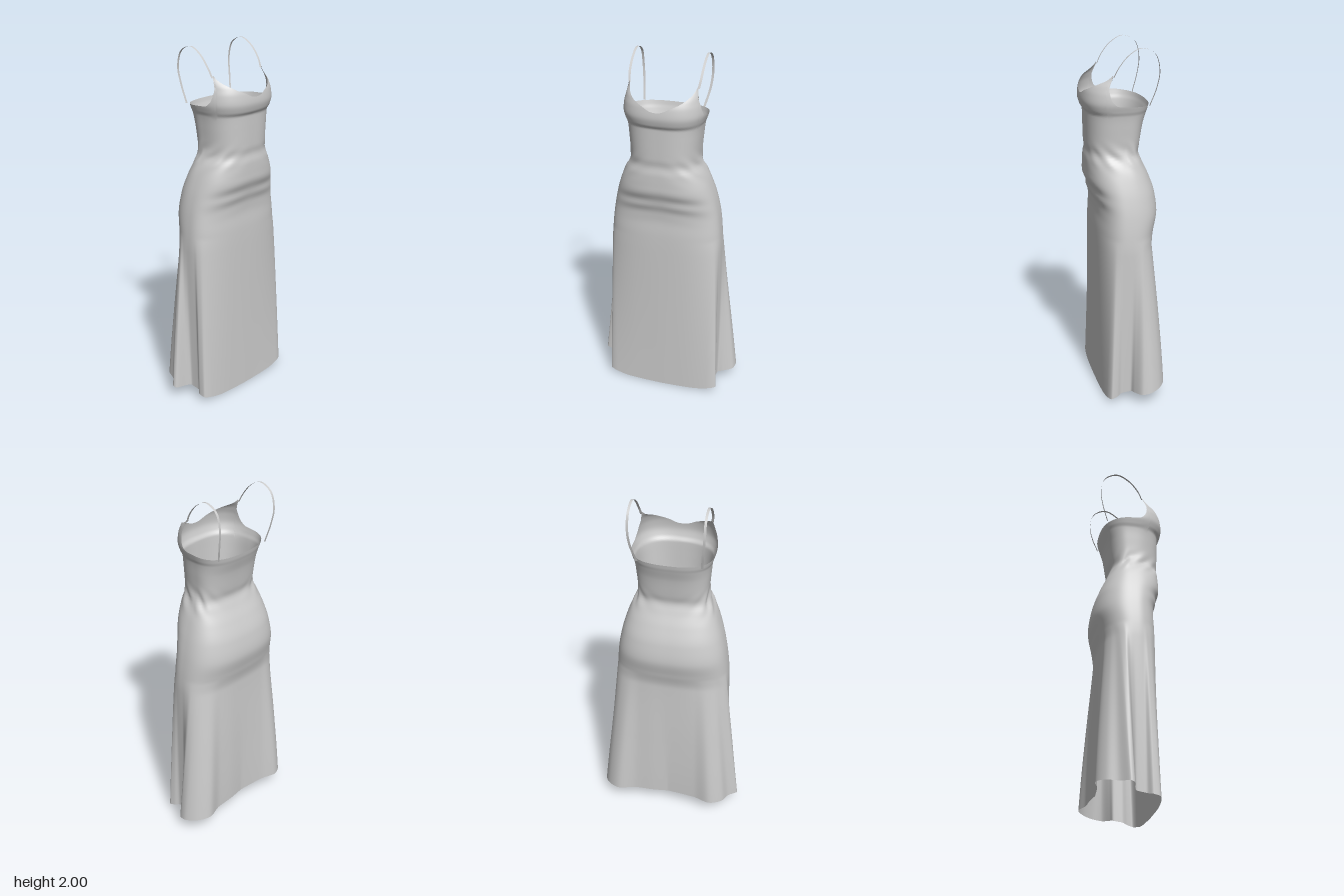
import * as THREE from 'three';

const material = new THREE.MeshStandardMaterial({ color: 0xcccccc, side: THREE.DoubleSide });

// Smooth interpolation through rows of [key, value...], limited so it never overshoots
function sample(rows, t, c = 1) {
  const n = rows.length - 1;
  if (t <= rows[0][0]) return rows[0][c];
  if (t >= rows[n][0]) return rows[n][c];
  let k = 0;
  while (rows[k + 1][0] < t) k++;
  const step = (i) => (rows[i + 1][c] - rows[i][c]) / (rows[i + 1][0] - rows[i][0]);
  const slope = (i) => {
    if (i === 0 || i === n) return 0;
    const a = step(i - 1), b = step(i);
    return a * b <= 0 ? 0 : (2 * a * b) / (a + b);
  };
  const h = rows[k + 1][0] - rows[k][0], s = (t - rows[k][0]) / h;
  const s2 = s * s, s3 = s2 * s;
  return rows[k][c] * (2 * s3 - 3 * s2 + 1) + rows[k + 1][c] * (3 * s2 - 2 * s3)
    + h * (slope(k) * (s3 - 2 * s2 + s) + slope(k + 1) * (s3 - s2));
}

// Surface grid from a point function; columns optionally close into a ring
function gridMesh(name, rows, cols, closed, point) {
  const pos = [], index = [], width = closed ? cols : cols + 1;
  for (let i = 0; i <= rows; i++)
    for (let j = 0; j < width; j++) pos.push(...point(i / rows, j / cols));
  for (let i = 0; i < rows; i++)
    for (let j = 0; j < cols; j++) {
      const a = i * width + j, b = i * width + (j + 1) % width;
      index.push(a, b, b + width, a, b + width, a + width);
    }
  const g = new THREE.BufferGeometry();
  g.setAttribute('position', new THREE.Float32BufferAttribute(pos, 3));
  g.setIndex(index);
  g.computeVertexNormals();
  const mesh = new THREE.Mesh(g, material);
  mesh.name = name;
  return mesh;
}

// Body profile: height, half width, front z, back z
const BODY = [
  [0, 0.33, 0.14, -0.19], [0.5, 0.325, 0.143, -0.17], [0.9, 0.322, 0.145, -0.16],
  [1.0, 0.316, 0.144, -0.18], [1.1, 0.304, 0.14, -0.2], [1.2, 0.284, 0.157, -0.187],
  [1.3, 0.254, 0.183, -0.152], [1.38, 0.222, 0.182, -0.115], [1.43, 0.197, 0.175, -0.098],
  [1.47, 0.193, 0.18, -0.106], [1.58, 0.2, 0.182, -0.125], [1.645, 0.207, 0.183, -0.145],
  [1.67, 0.216, 0.198, -0.153], [1.715, 0.226, 0.208, -0.16], [1.76, 0.222, 0.203, -0.16],
  [1.8, 0.213, 0.188, -0.16], [1.86, 0.207, 0.125, -0.16],
];

// Hem outline from front centre (0) to back centre (1): key, x, z
const HEM_LEFT = [
  [0, 0, 0.14], [0.15, 0.15, 0.139], [0.3, 0.29, 0.132], [0.36, 0.338, 0.113],
  [0.4, 0.33, 0.083], [0.45, 0.312, 0.05], [0.5, 0.317, 0.0], [0.55, 0.35, -0.012],
  [0.62, 0.41, -0.05], [0.67, 0.418, -0.09], [0.73, 0.385, -0.16], [0.8, 0.305, -0.203],
  [0.87, 0.2, -0.172], [0.93, 0.1, -0.168], [1, 0, -0.155],
];
const HEM_RIGHT = [
  [0, 0, 0.14], [0.15, 0.15, 0.139], [0.3, 0.28, 0.132], [0.36, 0.325, 0.115],
  [0.4, 0.328, 0.083], [0.45, 0.302, 0.05], [0.5, 0.305, 0.0], [0.55, 0.335, -0.012],
  [0.6, 0.41, -0.026], [0.65, 0.418, -0.045], [0.7, 0.37, -0.095], [0.75, 0.345, -0.16],
  [0.82, 0.265, -0.205], [0.88, 0.17, -0.175], [1, 0, -0.155],
];

// Edge heights around the body
const HEM_Y = [[0, 0], [0.2, 0.006], [0.36, 0.03], [0.5, 0.055], [0.65, 0.075], [0.8, 0.098], [1, 0.1]];
const NECK_Y = [
  [0, 1.745], [0.08, 1.77], [0.18, 1.797], [0.29, 1.832], [0.35, 1.862], [0.37, 1.805],
  [0.41, 1.73], [0.46, 1.703], [0.55, 1.697], [0.75, 1.69], [1, 1.688],
];

const bump = (v, centre, size) => Math.exp(-(((v - centre) / size) ** 2));

function dressPoint(t, ring) {
  const side = ring <= 0.5 ? 1 : -1;
  const u = side > 0 ? ring * 2 : 2 - ring * 2;
  const hemY = sample(HEM_Y, u), neckY = sample(NECK_Y, u);
  const y = t < 0.75 ? hemY + (1.5 - hemY) * (t / 0.75) : 1.5 + (neckY - 1.5) * ((t - 0.75) / 0.25);

  // Rounded body section
  const a = u * Math.PI, e = 2 / 2.6;
  const c = Math.cos(a), depth = Math.abs(c) ** e;
  let x = sample(BODY, y) * Math.abs(Math.sin(a)) ** e;
  let z = depth * sample(BODY, y, c > 0 ? 2 : 3);

  // Skirt opens into front panel, side folds and back lobes
  const k = Math.max(0, 1 - y / 0.98) ** 0.9;
  const hem = side > 0 ? HEM_LEFT : HEM_RIGHT;
  x += (sample(hem, u, 1) - x) * k;
  z += (sample(hem, u, 2) - z) * k;

  // Gathers at the waist and soft drape over the belly
  const pull = 0.005 * bump(y, 1.42, 0.05) * Math.sin(u * 34 + y * 60) * bump(u, 0.5, 0.3)
    + 0.003 * bump(y, 1.2, 0.08) * Math.sin(y * 75 + u * 6) * bump(u, 0.1, 0.18);
  return [side * (x + pull * Math.sin(a)), y, z + pull * c];
}

// Thin ribbon loop from the cup point over the shoulder to the back edge
function strap(name, side, backX) {
  const curve = new THREE.CatmullRomCurve3([
    [0.19, 1.85, 0.065], [0.196, 1.9, 0.04], [0.198, 1.965, -0.015], [0.198, 1.999, -0.085],
    [0.198, 1.965, -0.155], [0.198, 1.88, -0.18], [0.19, 1.79, -0.168], [backX, 1.685, -0.137],
  ].map(([x, y, z]) => new THREE.Vector3(side * x, y, z)));
  return gridMesh(name, 60, 1, false, (t, v) => {
    const p = curve.getPoint(t);
    return [p.x + (v - 0.5) * 0.013, p.y, p.z];
  });
}

export function createModel() {
  const model = new THREE.Group();
  model.name = 'dress';
  model.add(
    gridMesh('gown', 150, 220, true, dressPoint),
    strap('leftStrap', 1, 0.165),
    strap('rightStrap', -1, 0.18),
  );
  return model;
}
